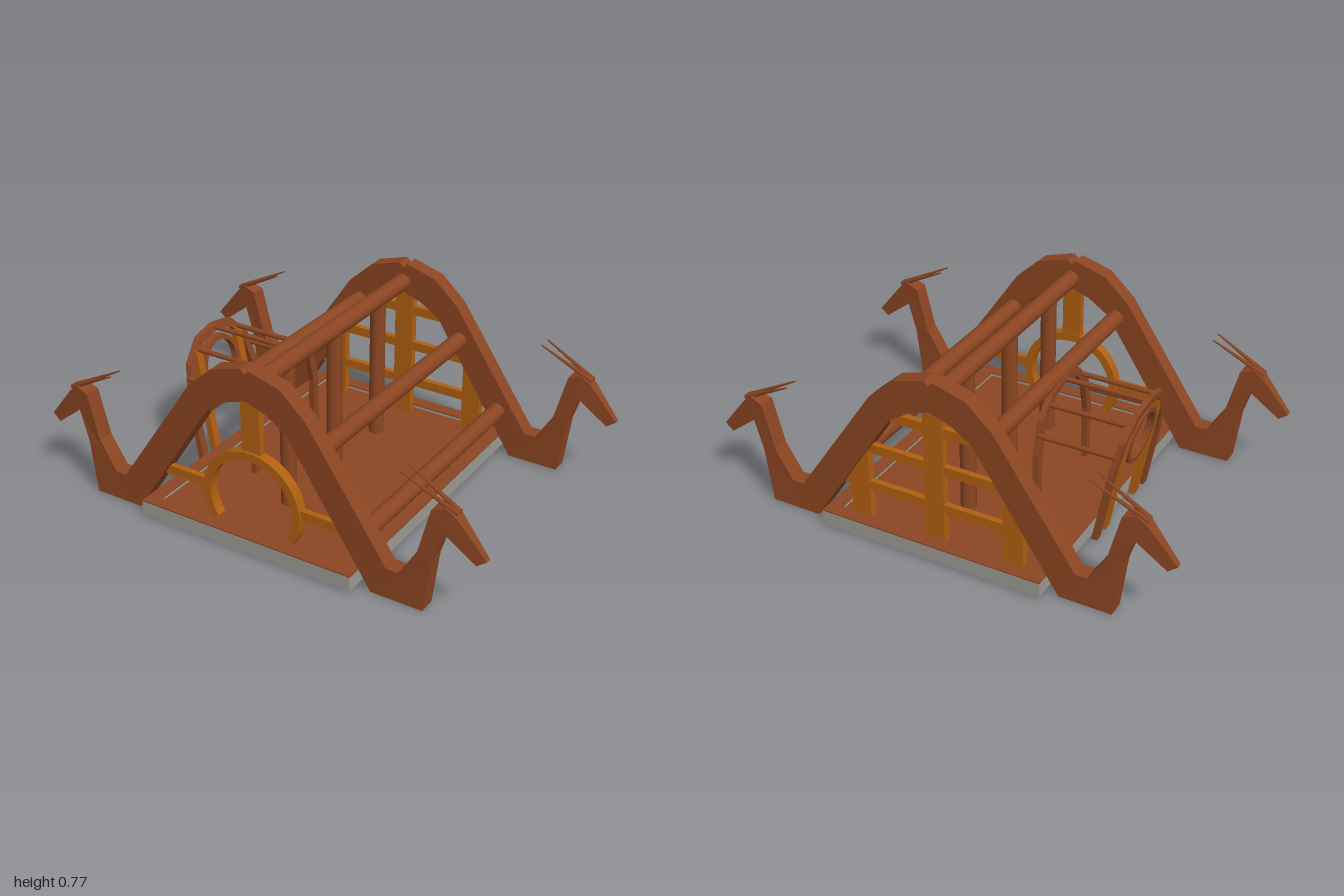
import * as THREE from 'three';

const mat = (name, color) => {
  const m = new THREE.MeshStandardMaterial({ color });
  m.name = name;
  return m;
};

export function createModel() {
  const model = new THREE.Group();
  const brown = mat('brown timber', 0x8b4522);
  const gold = mat('golden timber', 0xb05f10);
  const grey = mat('grey stone', 0x9d9b93);

  const add = (name, geo, material, x = 0, y = 0, z = 0) => {
    const mesh = new THREE.Mesh(geo, material);
    mesh.name = name;
    mesh.position.set(x, y, z);
    model.add(mesh);
    return mesh;
  };
  const box = (name, m, w, h, d, x, y, z) => add(name, new THREE.BoxGeometry(w, h, d), m, x, y, z);
  // Round bar between two points, optionally tapered
  const bar = (name, m, a, b, r0, r1 = r0, sides = 16) => {
    const p = new THREE.Vector3(...a), q = new THREE.Vector3(...b);
    const dir = q.clone().sub(p);
    const mesh = add(name, new THREE.CylinderGeometry(r1, r0, dir.length(), sides), m);
    mesh.position.copy(p).add(q).multiplyScalar(0.5);
    mesh.quaternion.setFromUnitVectors(new THREE.Vector3(0, 1, 0), dir.normalize());
  };
  const shapeOf = pts => new THREE.Shape(pts.map(p => new THREE.Vector2(p[0], p[1])));
  const extrude = (shape, depth) => {
    const g = new THREE.ExtrudeGeometry(shape, { depth, bevelEnabled: false, curveSegments: 16 });
    return g.translate(0, 0, -depth / 2);
  };
  const rect = (w, d) => shapeOf([[-w, -d], [w, -d], [w, d], [-w, d]]);
  const rim = (name, m, y, h) => {
    const s = rect(0.4875, 0.665);
    s.holes.push(rect(0.43, 0.607));
    add(name, extrude(s, h).rotateX(-Math.PI / 2), m, -0.0025, y, 0);
  };

  // Base: stone frame with timber top and floor
  rim('baseFrame', grey, 0.039, 0.062);
  rim('baseRim', brown, 0.0725, 0.005);
  box('floor', brown, 0.86, 0.035, 1.214, -0.0025, 0.042, 0);

  // Gable beams that end in animal heads, narrowing towards the snout
  const half = [
    [0, 0.645], [0, 0.755], [0.018, 0.775], [0.155, 0.735], [0.265, 0.635], [0.61, 0.128],
    [0.66, 0.128], [0.735, 0.25], [0.785, 0.445], [0.84, 0.465], [0.88, 0.435], [1, 0.29],
    [0.962, 0.262], [0.835, 0.36], [0.795, 0.235], [0.765, 0], [0.545, 0],
    [0.18, 0.555], [0.09, 0.615],
  ];
  for (const z of [-0.58, 0.58]) {
    for (const s of [-1, 1]) {
      const g = extrude(shapeOf(half.map(([x, y]) => [x * s, y])), 0.07);
      const p = g.attributes.position;
      for (let i = 0; i < p.count; i++) {
        const t = Math.max(0, (Math.abs(p.getX(i)) - 0.78) / 0.22);
        p.setZ(i, p.getZ(i) * (1 - 0.65 * t));
      }
      g.computeVertexNormals();
      add('gableBeam', g, brown, 0, 0, z);
      for (const k of [-1, 1]) {
        bar('horn', brown, [s * 0.88, 0.445, z + k * 0.008], [s * 0.655, 0.56, z + k * 0.03], 0.011, 0.003, 6);
      }
    }
  }

  // Long roof beams and the posts under the ridge
  for (const [x, y] of [[0, 0.69], [-0.215, 0.555], [0.28, 0.485], [0.475, 0.2]]) {
    bar('roofBeam', brown, [x, y, -0.575], [x, y, 0.575], 0.036);
  }
  for (const z of [-0.34, 0, 0.34]) bar('ridgePost', brown, [0, 0.05, z], [0, 0.69, z], 0.033);

  // Back gable lattice
  for (const [x, top] of [[-0.34, 0.4], [0, 0.68], [0.34, 0.4]]) {
    box('backPost', gold, 0.085, top - 0.05, 0.035, x, (top + 0.05) / 2, -0.58);
  }
  for (const [y, w] of [[0.21, 0.46], [0.385, 0.34], [0.555, 0.23]]) {
    box('backRail', gold, w * 2, 0.04, 0.025, 0, y, -0.58);
  }

  // Front gable: round doorway, post above it and side rails
  const a = -0.6, door = new THREE.Shape();
  door.absarc(0, 0, 0.225, a, Math.PI - a, false);
  door.absarc(0, 0, 0.19, Math.PI - a, a, true);
  add('doorRing', extrude(door, 0.045), gold, 0, 0.19, 0.58);
  box('frontPost', gold, 0.085, 0.29, 0.03, 0, 0.545, 0.575);
  for (const s of [-1, 1]) box('frontRail', gold, 0.28, 0.04, 0.025, s * 0.345, 0.21, 0.58);

  // Dormer: flat frames in the z-y plane, leaning outward by a shear
  const lean = 0.18, outX = -0.51;
  const frame = (name, shape, m, depth, x, k) => {
    const g = extrude(shape, depth).rotateY(Math.PI / 2);
    const p = g.attributes.position;
    for (let i = 0; i < p.count; i++) p.setX(i, p.getX(i) - k * p.getY(i));
    g.computeVertexNormals();
    add(name, g, m, x, 0, 0);
  };
  const mirrored = pts => [...pts, ...pts.slice(0, -1).reverse().map(([z, y]) => [-z, y])];
  const outer = [[0.24, 0.005], [0.235, 0.31], [0.2, 0.455], [0.115, 0.54], [0, 0.56]];
  const inner = [[0.205, 0.005], [0.2, 0.3], [0.165, 0.44], [0.095, 0.51], [0, 0.53]];
  const arch = shapeOf([...mirrored(outer), ...mirrored(inner).reverse()]);
  frame('dormerArch', arch, brown, 0.025, outX, lean);
  frame('dormerInnerArch', arch, brown, 0.025, -0.245, 0);

  const ring = new THREE.Shape(), hole = new THREE.Path();
  ring.absarc(0, 0.385, 0.12, 0, Math.PI * 2, false);
  hole.absarc(0, 0.385, 0.1, 0, Math.PI * 2, true);
  ring.holes.push(hole);
  frame('dormerRing', ring, brown, 0.03, outX, lean);
  for (const s of [-1, 1]) {
    const z = s * 0.138;
    frame('dormerPost', shapeOf([[z - 0.019, 0.005], [z + 0.019, 0.005], [z + 0.019, 0.5], [z - 0.019, 0.5]]),
      gold, 0.03, outX + 0.005, lean);
  }
  for (const [z, y] of [[0, 0.545], [0.138, 0.5], [-0.138, 0.5], [0.213, 0.395], [-0.213, 0.395]]) {
    bar('dormerRafter', brown, [outX - lean * y, y, z], [-0.245, y, z], 0.011, 0.011, 10);
  }
  return model;
}
